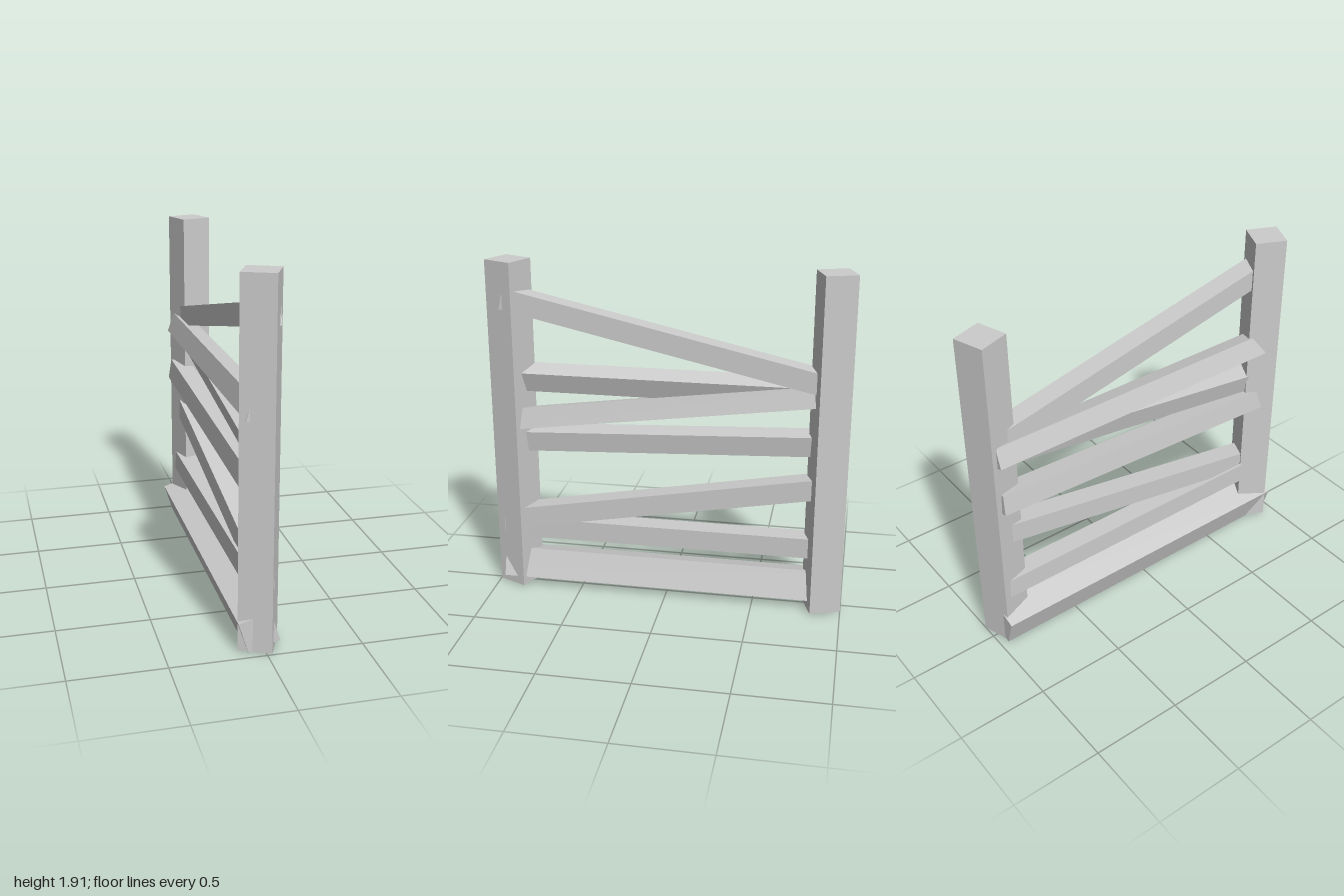
import * as THREE from 'three';

export function createModel() {
  const fence = new THREE.Group();
  fence.name = 'fence';
  const material = new THREE.MeshStandardMaterial({ color: 0xcccccc, flatShading: true });

  const addBeam = (name, size, position, rotation) => {
    const beam = new THREE.Mesh(new THREE.BoxGeometry(...size), material);
    beam.name = name;
    beam.position.set(...position);
    beam.rotation.set(...rotation.map(THREE.MathUtils.degToRad));
    fence.add(beam);
  };

  // Upright posts, each twisted about its own axis
  addBeam('frontPost', [0.175, 1.91, 0.175], [-0.019, 0.965, 0.88], [0, -24.5, 0]);
  addBeam('backPost', [0.175, 1.91, 0.175], [0.026, 0.965, -0.89], [0, 18.5, 0]);

  // Thick bottom rail, rolled on its length
  addBeam('bottomRail', [0.172, 0.172, 1.91], [-0.03, 0.114, 0], [0, 0, 17.5]);

  // Thin crooked rails: x, middle height, rise toward the back, roll, z of the front and back ends
  const rails = [
    [-0.012, 0.366, 0, -1, 0.95, -0.95],
    [0.005, 0.579, 0.177, 0, 0.88, -0.9],
    [-0.04, 0.93, 0.0436, -8, 0.91, -0.91],
    [0, 1.132, 0.1336, 13, 0.88, -0.9],
    [-0.033, 1.257, 0, -18, 0.945, -0.915],
    [0.013, 1.515, -0.225, 0, 0.9, -0.9],
  ];
  rails.forEach(([x, y, rise, roll, front, back], i) => {
    const pitch = Math.atan(rise);
    const z = (front + back) / 2;
    addBeam(`rail${i + 1}`, [0.117, 0.117, (front - back) / Math.cos(pitch)],
      [x, y - z * rise, z], [THREE.MathUtils.radToDeg(pitch), 0, roll]);
  });

  return fence;
}
